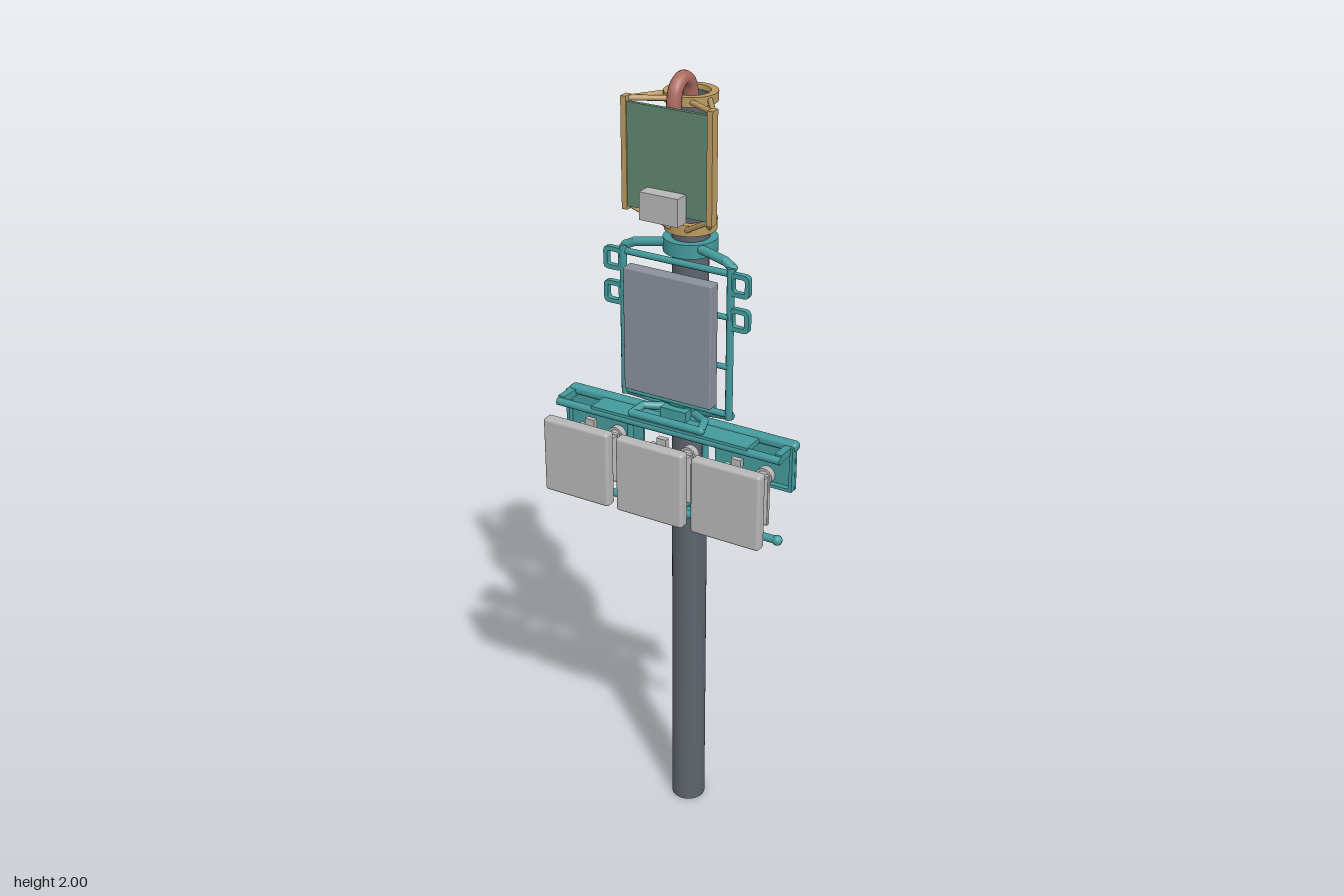
import * as THREE from 'three';
import { RoundedBoxGeometry } from 'three/addons/geometries/RoundedBoxGeometry.js';

const mat = (name, color) => {
  const m = new THREE.MeshStandardMaterial({ color });
  m.name = name;
  return m;
};

export function createModel() {
  const steel = mat('darkSteel', 0x5d646c);
  const teal = mat('teal', 0x439a9d);
  const tan = mat('tan', 0xbb9a60);
  const green = mat('boardGreen', 0x5f866f);
  const rust = mat('rustRed', 0xab6a5f);
  const slate = mat('slateGrey', 0x8a8f9b);
  const light = mat('lightGrey', 0xb6b6b6);
  steel.side = THREE.DoubleSide;

  const model = new THREE.Group();
  const PX = -0.004, PZ = -0.067; // pole axis
  const V = (x, y, z) => new THREE.Vector3(x, y, z);

  const add = (name, geo, m, x = 0, y = 0, z = 0, parent = model) => {
    const mesh = new THREE.Mesh(geo, m);
    mesh.name = name;
    mesh.position.set(x, y, z);
    parent.add(mesh);
    return mesh;
  };
  const box = (name, m, w, h, d, x, y, z, parent) =>
    add(name, new THREE.BoxGeometry(w, h, d), m, x, y, z, parent);
  // Straight round bar between two points
  const bar = (name, m, a, b, r, parent = model, sides = 10) => {
    const d = b.clone().sub(a);
    const mesh = add(name, new THREE.CylinderGeometry(r, r, d.length(), sides), m, 0, 0, 0, parent);
    mesh.position.copy(a).add(b).multiplyScalar(0.5);
    mesh.quaternion.setFromUnitVectors(V(0, 1, 0), d.normalize());
    return mesh;
  };
  // Run of bars with ball joints
  const run = (name, m, pts, r, parent = model) => {
    const g = new THREE.Group();
    g.name = name;
    parent.add(g);
    pts.forEach((p, i) => {
      add('joint', new THREE.SphereGeometry(r, 10, 8), m, p.x, p.y, p.z, g);
      if (i) bar('rod', m, pts[i - 1], p, r, g);
    });
    return g;
  };
  const clamp = (name, m, y, h, r) => {
    const p = [[0.043, -h / 2], [r, -h / 2], [r, -h / 2], [r, h / 2], [r, h / 2], [0.045, h / 2], [0.045, h / 2], [0.043, -h / 2]];
    add(name, new THREE.LatheGeometry(p.map(q => new THREE.Vector2(...q)), 40), m, PX, y, PZ);
  };

  // Hollow pole with a thin rim
  const wall = [[0.041, 0], [0.0435, 0], [0.0435, 0], [0.0435, 1.935], [0.0435, 1.935], [0.041, 1.935], [0.041, 1.935], [0.041, 0]];
  add('pole', new THREE.LatheGeometry(wall.map(q => new THREE.Vector2(...q)), 40), steel, PX, 0, PZ);

  // Cable hook out of the pole top
  const hook = new THREE.CurvePath();
  const arc = new THREE.CatmullRomCurve3([V(PX, 1.86, -0.067), V(PX, 1.935, -0.067), V(PX, 1.967, -0.057),
    V(PX, 1.982, -0.03), V(PX, 1.967, -0.002), V(PX, 1.935, 0.008), V(PX, 1.9, 0.008)]);
  hook.add(arc);
  add('cableHook', new THREE.TubeGeometry(arc, 40, 0.017, 14), rust);
  add('cableHookEnd', new THREE.SphereGeometry(0.017, 14, 8), rust, PX, 1.9, 0.008);

  // Upper board, its tan carrier and the small box
  clamp('upperClampTop', tan, 1.935, 0.022, 0.062);
  clamp('upperClampBottom', tan, 1.637, 0.026, 0.062);
  box('greenBoard', green, 0.212, 0.242, 0.01, PX, 1.81, 0.034);
  box('smallBox', light, 0.1, 0.066, 0.036, -0.004, 1.711, 0.058);
  for (const s of [-1, 1]) {
    const X = x => PX + s * x;
    box('boardUpright', tan, 0.014, 0.262, 0.024, X(0.11), 1.812, 0.03);
    const rods = [
      [V(X(0.11), 1.935, 0.026), V(X(0.055), 1.935, -0.055)],
      [V(X(0.11), 1.935, 0.026), V(X(0.03), 1.935, -0.018)],
      [V(X(0.11), 1.69, 0.026), V(X(0.055), 1.637, -0.055)],
      [V(X(0.11), 1.69, 0.026), V(X(0.02), 1.637, -0.014)],
      [V(X(0.108), 1.87, 0.022), V(X(0.055), 1.755, -0.06)],
      [V(X(0.053), 1.637, -0.06), V(X(0.053), 1.93, -0.06)],
    ];
    rods.forEach(([a, b]) => bar('boardBrace', tan, a, b, 0.0065));
    box('boardClip', tan, 0.012, 0.03, 0.006, X(0.1), 1.86, 0.027);
  }

  // Middle panel in a teal tube frame
  for (const [y, h] of [[1.587, 0.034], [1.176, 0.034], [0.917, 0.036]]) clamp('poleClamp', teal, y, h, 0.0645);
  add('middlePanel', new RoundedBoxGeometry(0.235, 0.31, 0.034, 2, 0.004), slate, PX, 1.385, 0.026);
  for (const y of [1.33, 1.455]) bar('panelCrossbar', teal, V(-0.145, y, 0.002), V(0.138, y, 0.002), 0.007);
  for (const y of [1.205, 1.56]) bar('frameRail', teal, V(-0.145, y, -0.004), V(0.138, y, -0.004), 0.008);
  const loopShape = (w, h, r) => {
    const s = new THREE.Shape(), x = w / 2, y = h / 2;
    s.moveTo(-x + r, -y).lineTo(x - r, -y).quadraticCurveTo(x, -y, x, -y + r).lineTo(x, y - r)
      .quadraticCurveTo(x, y, x - r, y).lineTo(-x + r, y).quadraticCurveTo(-x, y, -x, y - r)
      .lineTo(-x, -y + r).quadraticCurveTo(-x, -y, -x + r, -y);
    return s;
  };
  const loop = loopShape(0.052, 0.056, 0.013);
  loop.holes.push(loopShape(0.03, 0.034, 0.006));
  const loopGeo = new THREE.ExtrudeGeometry(loop, { depth: 0.014, bevelEnabled: false, curveSegments: 4 });
  for (const s of [-1, 1]) {
    const X = x => PX + s * x;
    bar('frameUpright', teal, V(X(0.143), 1.195, -0.002), V(X(0.143), 1.575, -0.002), 0.009);
    run('topArm', teal, [V(X(0.143), 1.572, -0.012), V(X(0.12), 1.583, -0.016), V(X(0.05), 1.592, -0.03)], 0.011);
    run('bottomArm', teal, [V(X(0.143), 1.2, -0.01), V(X(0.11), 1.195, -0.016), V(X(0.05), 1.182, -0.03)], 0.011);
    for (const y of [1.538, 1.453]) add('sideLoop', loopGeo, teal, X(0.168), y, -0.009);
  }

  // Lower carrier frame
  box('carrierTopPlate', teal, 0.43, 0.014, 0.058, 0.004, 1.157, 0.024);
  add('carrierBackRail', new RoundedBoxGeometry(0.632, 0.024, 0.028, 3, 0.01), teal, 0, 1.16, -0.02);
  bar('carrierFrontRail', teal, V(-0.312, 1.15, 0.046), V(0.305, 1.15, 0.046), 0.01);
  bar('carrierLowerRail', teal, V(-0.308, 0.937, 0.044), V(0.3, 0.937, 0.044), 0.01);
  for (const x of [-0.308, 0.3, -0.107, 0.1])
    add('railCollar', new THREE.SphereGeometry(0.013, 12, 8), teal, x, 0.937, 0.044);
  for (const s of [-1, 1]) {
    const X = x => PX + s * x;
    box('endLink', teal, 0.018, 0.018, 0.06, X(0.3), 1.155, 0.014);
    box('backPlate', teal, 0.215, 0.115, 0.008, X(0.208), 1.105, -0.018);
    box('backPlateFlange', teal, 0.008, 0.115, 0.022, X(0.311), 1.105, -0.01);
    box('backPlateLip', teal, 0.2, 0.008, 0.02, X(0.208), 1.05, -0.01);
    bar('carrierUpright', teal, V(X(0.104), 0.937, 0.04), V(X(0.104), 1.15, 0.04), 0.008);
    // Arms from the two pole clamps to the rails
    run('upperCarrierArm', teal, [V(X(0.04), 1.176, -0.02), V(X(0.085), 1.18, 0.01), V(X(0.095), 1.172, 0.046), V(PX, 1.172, 0.046)], 0.01);
    run('lowerCarrierArm', teal, [V(X(0.035), 0.917, -0.015), V(X(0.075), 0.925, 0.018), V(X(0.095), 0.937, 0.044)], 0.012);
    box('lowerArmPlate', teal, 0.06, 0.01, 0.035, X(0.07), 0.93, 0.025);
  }
  box('lowerClampBlock', teal, 0.07, 0.03, 0.03, PX, 0.917, 0.0);
  box('upperClampBlock', teal, 0.07, 0.028, 0.03, PX, 1.176, 0.0);

  // Tapered housing: a box narrowed toward the front
  const housing = new THREE.BoxGeometry(0.16, 0.13, 0.026).toNonIndexed();
  const hp = housing.attributes.position;
  for (let i = 0; i < hp.count; i++)
    if (hp.getZ(i) > 0) hp.setXY(i, hp.getX(i) * 0.72, hp.getY(i) * 0.7);
  housing.computeVertexNormals();

  // Three front panels with their mounts
  for (const x of [-0.21, -0.004, 0.202]) {
    const unit = new THREE.Group();
    unit.name = 'panelUnit';
    unit.position.set(x, 1.043, 0);
    model.add(unit);
    add('frontPanel', new RoundedBoxGeometry(0.184, 0.197, 0.031, 3, 0.008), light, 0, 0, 0.1135, unit);
    add('housing', housing, light, 0, 0.003, 0.076, unit);
    box('housingRim', light, 0.16, 0.13, 0.01, 0, 0.003, 0.059, unit);
    for (const s of [-1, 1]) {
      box('mountRib', light, 0.012, 0.075, 0.014, s * 0.02, 0, 0.094, unit);
      box('mountFoot', light, 0.018, 0.02, 0.014, s * 0.042, 0, 0.091, unit);
      box('rearBracket', light, 0.012, 0.11, 0.018, s * 0.06, 0, 0.047, unit);
    }
    box('rearBlock', light, 0.06, 0.06, 0.028, 0, 0, 0.042, unit);
    bar('rearKnob', light, V(0.042, 0.035, 0.054), V(0.042, 0.035, 0.015), 0.016, unit, 16);
    bar('rearKnobCap', light, V(0.042, 0.035, 0.015), V(0.042, 0.035, -0.003), 0.022, unit, 16);
    bar('rearPin', light, V(-0.06, 0.035, 0.054), V(-0.06, 0.035, 0.004), 0.008, unit, 12);
    box('rearTab', light, 0.026, 0.026, 0.014, -0.035, 0.045, 0.004, unit);
    bar('rearKnobLow', light, V(0, -0.035, 0.054), V(0, -0.035, 0.015), 0.015, unit, 16);
  }

  return model;
}
